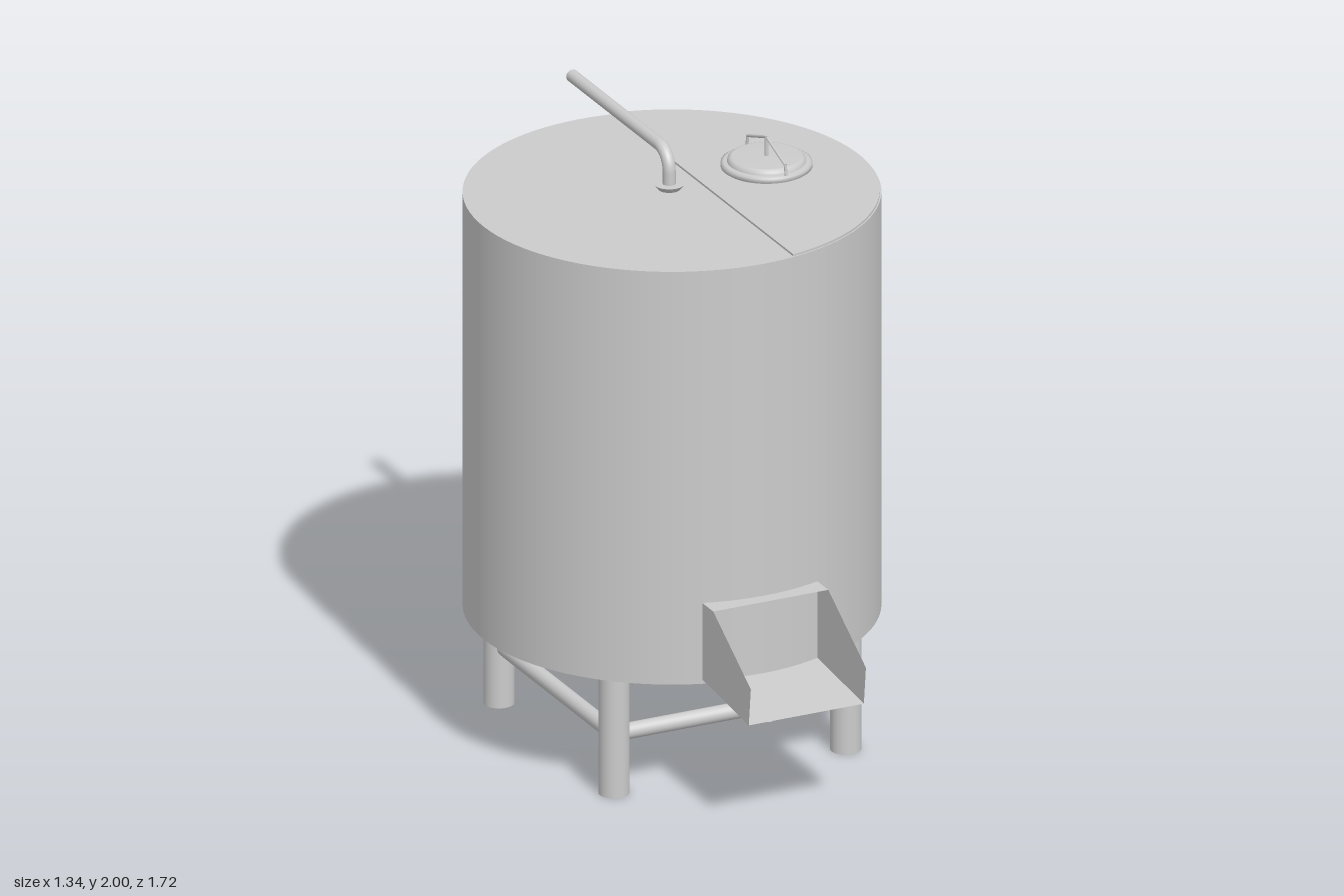
import * as THREE from 'three';

const TANK_Z = -0.13, TANK_R = 0.67, BOTTOM = 0.42, TOP = 1.85;
const V = (x, y, z) => new THREE.Vector3(x, y, z);

export function createModel() {
  const root = new THREE.Group();
  const solid = new THREE.MeshStandardMaterial({ color: 0xcccccc });
  const sheet = new THREE.MeshStandardMaterial({ color: 0xcccccc, side: THREE.DoubleSide });

  const add = (name, geometry, material = solid, parent = root) => {
    const mesh = new THREE.Mesh(geometry, material);
    mesh.name = name;
    parent.add(mesh);
    return mesh;
  };

  // Round bar between two points
  const bar = (name, a, b, r, parent = root, sides = 24) => {
    const mesh = add(name, new THREE.CylinderGeometry(r, r, a.distanceTo(b), sides), solid, parent);
    mesh.position.copy(a).lerp(b, 0.5);
    mesh.quaternion.setFromUnitVectors(V(0, 1, 0), b.clone().sub(a).normalize());
    return mesh;
  };

  // Open pipe with one rounded elbow
  const elbowPipe = (name, start, corner, end, bend, r) => {
    const a = corner.clone().add(start.clone().sub(corner).setLength(bend));
    const b = corner.clone().add(end.clone().sub(corner).setLength(bend));
    const k = 0.5523;
    const path = new THREE.CurvePath();
    path.add(new THREE.LineCurve3(start, a));
    path.add(new THREE.CubicBezierCurve3(a, a.clone().lerp(corner, k), b.clone().lerp(corner, k), b));
    path.add(new THREE.LineCurve3(b, end));
    return add(name, new THREE.TubeGeometry(path, 120, r, 24), sheet);
  };

  // Tank body
  add('tank', new THREE.CylinderGeometry(TANK_R, TANK_R, TOP - BOTTOM, 96))
    .position.set(0, (TOP + BOTTOM) / 2, TANK_Z);

  // Raised plate over one side of the tank top
  const seamX = 0.11, plateR = 0.665, ang = Math.acos(seamX / plateR);
  const segment = new THREE.Shape();
  segment.absarc(0, 0, plateR, -ang, ang, false);
  segment.closePath();
  const plateGeo = new THREE.ExtrudeGeometry(segment, { depth: 0.007, bevelEnabled: false, curveSegments: 64 });
  plateGeo.rotateX(-Math.PI / 2);
  add('topPlate', plateGeo).position.set(0, TOP, TANK_Z);

  // Legs and the rails between them
  const legX = 0.413, legZ = [0.29, -0.545], railY = 0.205;
  for (const z of legZ) {
    for (const s of [-1, 1]) bar('leg', V(s * legX, 0, z), V(s * legX, BOTTOM, z), 0.05, root, 32);
    bar('crossRail', V(-legX, railY, z), V(legX, railY, z), 0.027);
  }
  for (const s of [-1, 1]) bar('sideRail', V(s * legX, railY, legZ[0]), V(s * legX, railY, legZ[1]), 0.027);

  // Pipes with their flanges
  elbowPipe('topPipe', V(0, TOP, -0.15), V(0, 1.98, -0.15), V(0, 1.98, -0.855), 0.07, 0.021);
  add('topFlange', new THREE.CylinderGeometry(0.05, 0.036, 0.018, 32)).position.set(0, 1.861, -0.15);
  elbowPipe('drainPipe', V(0, BOTTOM, TANK_Z), V(0, 0.3, TANK_Z), V(0, 0.3, 0.585), 0.09, 0.021);
  add('drainFlange', new THREE.CylinderGeometry(0.05, 0.042, 0.012, 32)).position.set(0, 0.414, TANK_Z);

  // Hatch: collar, lid and handle
  const hatch = new THREE.Group();
  hatch.name = 'hatch';
  hatch.position.set(0.353, TOP, -0.163);
  root.add(hatch);
  const lathe = (...pts) => new THREE.LatheGeometry(pts.map(p => new THREE.Vector2(...p)), 64);
  add('hatchCollar', lathe([0.14, 0], [0.14, 0.012], [0.147, 0.012], [0.147, 0.026], [0.138, 0.03], [0.124, 0.03]), sheet, hatch);
  add('hatchLid', lathe([0.127, 0.028], [0.125, 0.038], [0.118, 0.045], [0.11, 0.047], [0, 0.048]), sheet, hatch);
  const handle = [V(0, 0.03, 0.142), V(0, 0.065, 0.137), V(0, 0.112, 0), V(0, 0.065, -0.137), V(0, 0.03, -0.142)];
  for (let i = 0; i < 4; i++) bar('hatchHandle', handle[i], handle[i + 1], 0.005, hatch, 10);
  bar('hatchPost', V(0, 0.045, 0), V(0, 0.117, 0), 0.007, hatch, 12);

  // Outlet chute: two side walls, sloping floor and short hood
  const chute = new THREE.Group();
  chute.name = 'chute';
  root.add(chute);
  const half = 0.205;
  const side = new THREE.Shape([[0.51, 0.435], [0.845, 0.402], [0.86, 0.532], [0.587, 0.7], [0.51, 0.7]]
    .map(p => new THREE.Vector2(...p)));
  for (const s of [-1, 1]) {
    const wall = add('chuteWall', new THREE.ShapeGeometry(side), sheet, chute);
    wall.rotation.y = -Math.PI / 2;
    wall.position.x = s * half;
  }
  const panel = (name, z0, y0, z1, y1) => {
    const mesh = add(name, new THREE.PlaneGeometry(2 * half, Math.hypot(z1 - z0, y1 - y0)), sheet, chute);
    mesh.position.set(0, (y0 + y1) / 2, (z0 + z1) / 2);
    mesh.rotation.x = -Math.PI / 2 + Math.atan2(y0 - y1, z1 - z0);
  };
  panel('chuteFloor', 0.51, 0.435, 0.845, 0.402);
  panel('chuteHood', 0.51, 0.7, 0.587, 0.7);

  return root;
}
